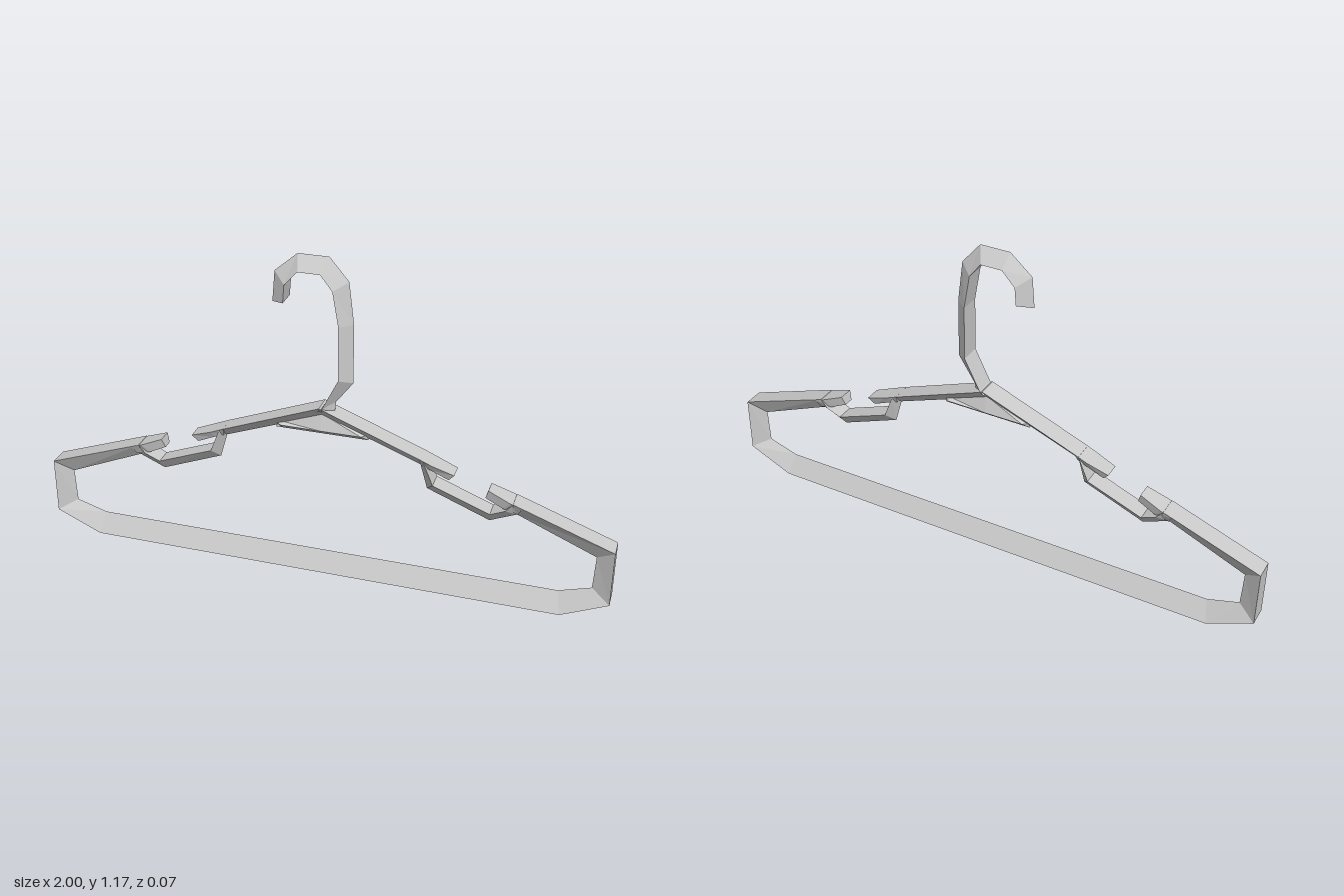
import * as THREE from 'three';

const HALF = 0.036; // half depth of the bars
const material = new THREE.MeshStandardMaterial({ color: 0xcccccc, flatShading: true });

// Skins a list of equal-sized cross-sections; closed joins the last to the first.
function loft(name, sections, closed = false) {
  const n = sections[0].length;
  const tris = [];
  const count = closed ? sections.length : sections.length - 1;
  for (let i = 0; i < count; i++) {
    const a = sections[i], b = sections[(i + 1) % sections.length];
    for (let j = 0; j < n; j++) {
      const k = (j + 1) % n;
      tris.push([a[j], b[j], b[k]], [a[j], b[k], a[k]]);
    }
  }
  if (!closed) {
    const first = sections[0], last = sections[sections.length - 1];
    for (let j = 1; j < n - 1; j++) {
      tris.push([first[0], first[j], first[j + 1]], [last[0], last[j + 1], last[j]]);
    }
  }
  // turn the faces outward if the enclosed volume comes out negative
  let volume = 0;
  for (const [a, b, c] of tris) volume += a.dot(b.clone().cross(c));
  const points = tris.flatMap(([a, b, c]) => (volume < 0 ? [a, c, b] : [a, b, c]));
  const geometry = new THREE.BufferGeometry().setFromPoints(points);
  geometry.computeVertexNormals();
  const mesh = new THREE.Mesh(geometry, material);
  mesh.name = name;
  return mesh;
}

const v = (x, y, z) => new THREE.Vector3(x, y, z);

// Triangular section: a flat edge across the depth and a ridge in the middle plane.
const wedge = ([fx, fy, rx, ry, w = HALF]) => [v(fx, fy, w), v(fx, fy, -w), v(rx, ry, 0)];

// Trapezoid section: wide top, narrow underside.
const trapezoid = ([tx, ty, tw, bx, by, bw]) =>
  [v(tx, ty, tw), v(tx, ty, -tw), v(bx, by, -bw), v(bx, by, bw)];

export function createModel() {
  const group = new THREE.Group();
  group.name = 'clothesHanger';

  // Frame, left half from the neck to the bottom: flat x, y, ridge x, y, half width
  const half = [
    [0.375, 0.5, 0.345, 0.465],
    [0.355, 0.487, 0.345, 0.465],
    [0.39, 0.42, 0.365, 0.388, 0.033],
    [0.585, 0.345, 0.58, 0.303, 0.033],
    [0.635, 0.368, 0.67, 0.342, 0.035],
    [0.66, 0.398, 0.67, 0.342],
    [1, 0.275, 0.94, 0.228],
    [1, 0.072, 0.935, 0.107],
    [0.84, 0, 0.825, 0.073],
  ];
  half.shift();
  half[0] = [0.355, 0.508, 0.34, 0.475];
  const mirrored = half.map(([fx, fy, rx, ry, w]) => [-fx, fy, -rx, ry, w]).reverse();
  group.add(loft('frame', [[0, 0.645, 0, 0.603], ...half, ...mirrored].map(wedge), true));

  // Strap notch lips: top x, y, half width, underside x, y, half width
  const lips = {
    UpperLip: [
      [0.34, 0.514, HALF, 0.345, 0.482, 0.018],
      [0.385, 0.495, HALF, 0.38, 0.47, 0.022],
      [0.46, 0.467, 0.028, 0.44, 0.442, 0.018],
    ],
    LowerLip: [
      [0.69, 0.387, HALF, 0.675, 0.352, 0.016],
      [0.65, 0.4, HALF, 0.625, 0.37, 0.024],
      [0.575, 0.43, 0.027, 0.565, 0.397, 0.018],
    ],
  };
  for (const [side, s] of [['left', 1], ['right', -1]]) {
    for (const [part, rows] of Object.entries(lips)) {
      group.add(loft(side + part, rows.map(([tx, ty, tw, bx, by, bw]) =>
        trapezoid([s * tx, ty, tw, s * bx, by, bw]))));
    }
  }

  // Gusset under the neck, fading into the shoulders at both ends
  const gusset = [[-0.16, 0.002], [-0.14, 0.02], [0, 0.021], [0.14, 0.02], [0.16, 0.002]];
  group.add(loft('neckGusset', gusset.map(([x, w]) => {
    const top = 0.612 - Math.abs(x) * 0.36;
    return [v(x, top, 0.005), v(x, 0.554, w), v(x, 0.536, 0.001),
      v(x, 0.536, -0.001), v(x, 0.554, -w), v(x, top, -0.005)];
  })));

  // Hook: flat on the inside of the bend, ridge on the outside
  group.add(loft('hook', [
    [-0.005, 0.632, 0.045, 0.625],
    [0.01, 0.645, 0.048, 0.66],
    [0.065, 0.755, 0.107, 0.738],
    [0.065, 0.945, 0.107, 0.945],
    [0.045, 1.065, 0.09, 1.09],
    [0.005, 1.117, 0.025, 1.167],
    [-0.07, 1.117, -0.08, 1.167],
    [-0.115, 1.068, -0.158, 1.1],
    [-0.12, 1.005, -0.167, 0.993],
  ].map(wedge)));

  return group;
}
